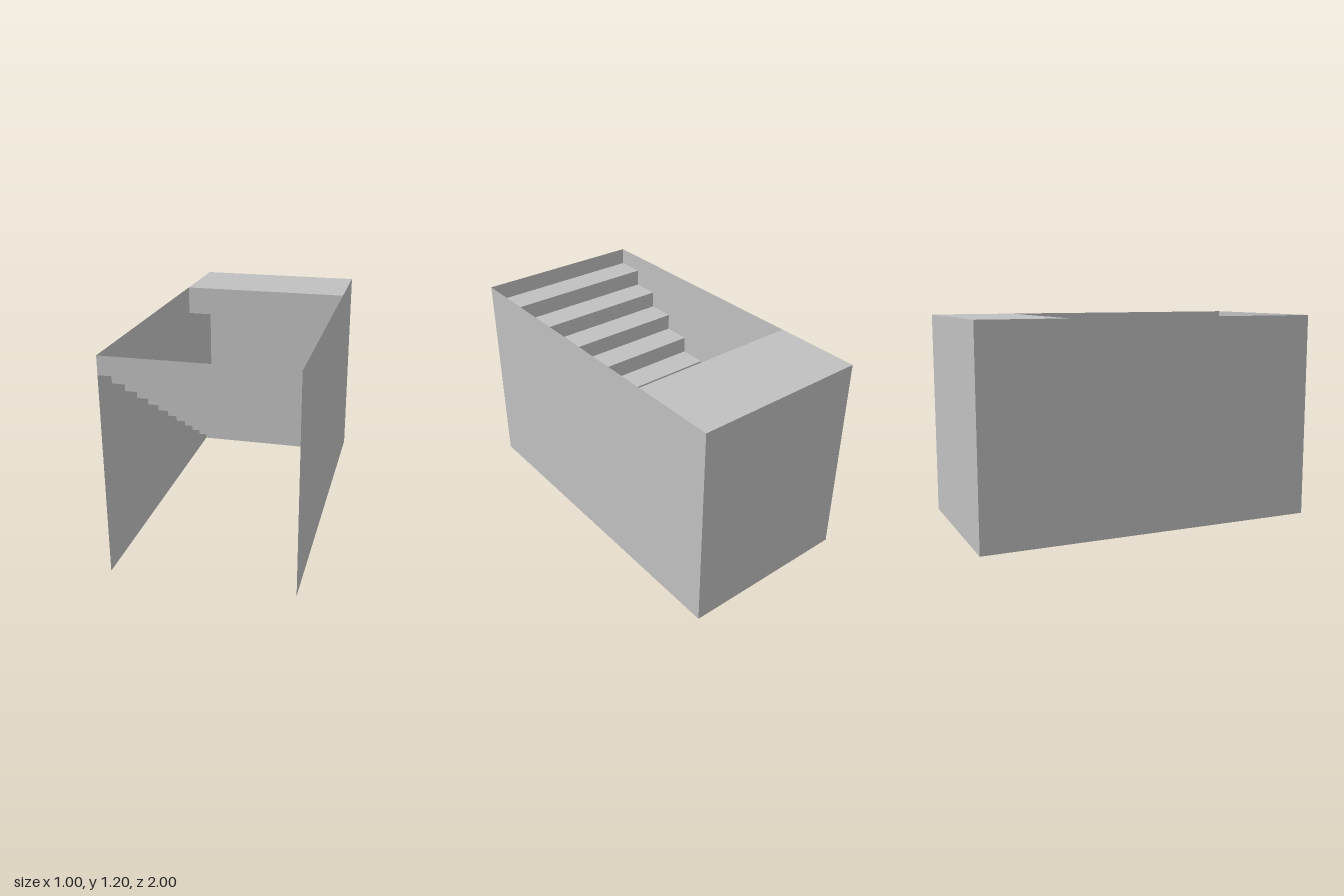
import * as THREE from 'three';

export function createModel() {
  const model = new THREE.Group();
  const concrete = new THREE.MeshStandardMaterial({ color: 0xc0c0c0, side: THREE.DoubleSide });
  concrete.name = 'light grey';

  const WIDTH = 1, HEIGHT = 1.2, LENGTH = 2, STEPS = 12;
  const rise = HEIGHT / STEPS, run = LENGTH / STEPS;

  // Thin sheets: upright facing z, flat facing y, or side facing x
  function sheet(name, parent, w, h, position, rx = 0, ry = 0) {
    const mesh = new THREE.Mesh(new THREE.PlaneGeometry(w, h), concrete);
    mesh.name = name;
    mesh.rotation.set(rx, ry, 0);
    mesh.position.set(...position);
    parent.add(mesh);
  }
  const UP = -Math.PI / 2;

  // Enclosing walls, open at the front
  for (const s of [-1, 1]) {
    sheet(s > 0 ? 'leftWall' : 'rightWall', model, LENGTH, HEIGHT,
      [s * WIDTH / 2, HEIGHT / 2, 0], 0, s * Math.PI / 2);
  }
  sheet('backWall', model, WIDTH, HEIGHT, [0, HEIGHT / 2, -LENGTH / 2], 0, Math.PI);

  // Folded stair flight descending from the front edge to the back wall
  const stairs = new THREE.Group();
  stairs.name = 'stairs';
  for (let i = 0; i < STEPS; i++) {
    const z = LENGTH / 2 - i * run;
    const y = HEIGHT - (i + 1) * rise;
    sheet('riser', stairs, WIDTH, rise, [0, y + rise / 2, z]);
    sheet('tread', stairs, WIDTH, run, [0, y, z - run / 2], UP);
  }
  model.add(stairs);

  // Landing slab over the foot of the stairs
  const landing = new THREE.Group();
  landing.name = 'landing';
  const depth = 0.5, thick = 0.17, midZ = -LENGTH / 2 + depth / 2;
  sheet('landingTop', landing, WIDTH, depth, [0, HEIGHT, midZ], UP);
  sheet('landingUnderside', landing, WIDTH, depth, [0, HEIGHT - thick, midZ], -UP);
  sheet('landingEdge', landing, WIDTH, thick, [0, HEIGHT - thick / 2, midZ + depth / 2]);
  model.add(landing);

  return model;
}
